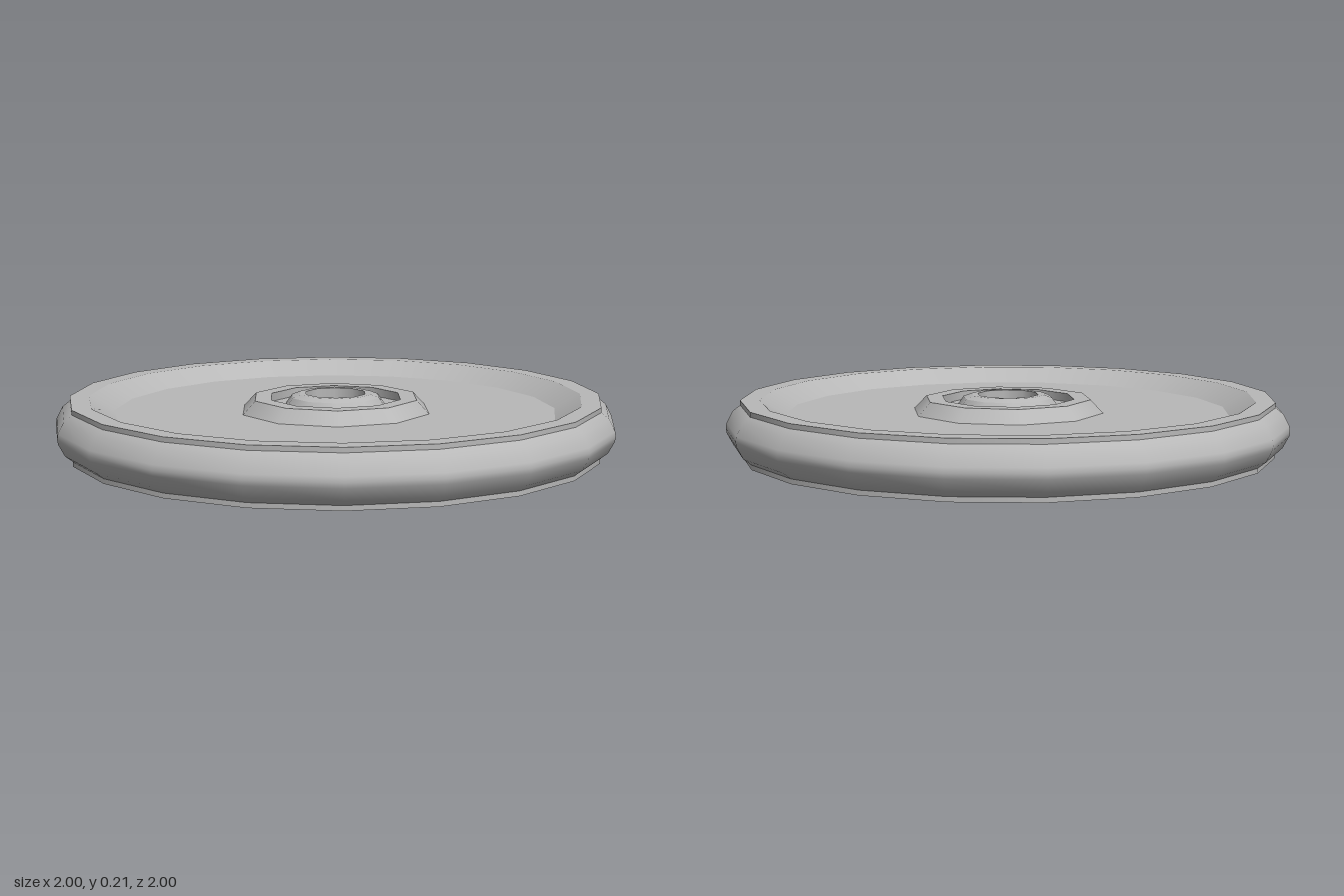
import * as THREE from 'three';

const MID = 0.105; // height of the wheel's mirror plane

export function createModel() {
  const model = new THREE.Group();
  model.name = 'wheel';
  const grey = new THREE.MeshStandardMaterial({ color: 0xb8b8b8 });
  grey.name = 'grey';

  // one lathed strip: smooth around and along, sharp against its neighbours
  function strip(parent, points, sides) {
    const profile = points.map(([r, y]) => new THREE.Vector2(r, y));
    const mesh = new THREE.Mesh(new THREE.LatheGeometry(profile, sides), grey);
    mesh.name = parent.name + 'Surface';
    parent.add(mesh);
  }

  // sharp-edged profile running inward over the top, mirrored underneath
  function mirrored(name, points, sides) {
    const part = new THREE.Group();
    part.name = name;
    part.position.y = MID;
    for (let i = 0; i + 1 < points.length; i++) {
      const a = points[i], b = points[i + 1];
      strip(part, [a, b], sides);
      strip(part, [[b[0], -b[1]], [a[0], -a[1]]], sides);
    }
    model.add(part);
    return part;
  }

  // bulging tread
  const tread = new THREE.Group();
  tread.name = 'tread';
  tread.position.y = MID;
  strip(tread, [[0.948, -0.081], [0.975, -0.06], [0.997, -0.018], [1, 0],
    [0.997, 0.018], [0.975, 0.06], [0.948, 0.081]], 20);
  model.add(tread);

  // raised rim, sloping down to the flat web
  mirrored('rim', [[0.948, 0.081], [0.948, 0.098], [0.88, 0.098], [0.79, 0.045]], 20);
  mirrored('web', [[0.79, 0.045], [0.3, 0.045]], 20);

  // hub ring with a recessed floor
  mirrored('hub', [[0.345, 0.045], [0.3, 0.092], [0.24, 0.092], [0.24, 0.062], [0.18, 0.062]], 10);

  // axle collar and its bore
  const collar = mirrored('axleCollar',
    [[0.185, 0.062], [0.162, 0.094], [0.133, 0.105], [0.11, 0.105]], 10);
  strip(collar, [[0.11, 0.105], [0.11, -0.105]], 10);

  return model;
}
